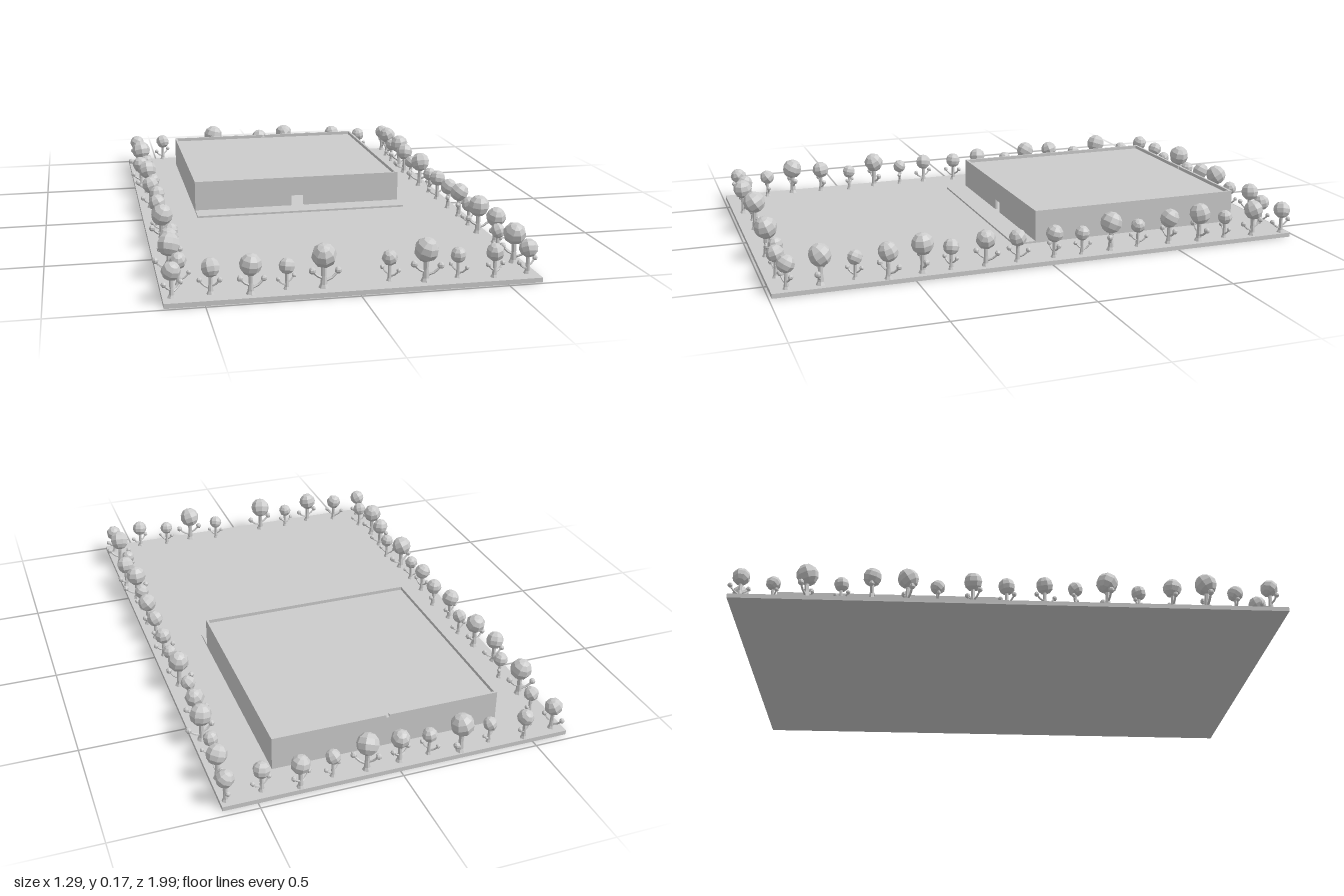
import * as THREE from 'three';

const stone = new THREE.MeshStandardMaterial({ color: 0xcccccc });
stone.name = 'pale grey';

// faceted copy of a geometry
function flat(geometry) {
  const g = geometry.index ? geometry.toNonIndexed() : geometry;
  g.computeVertexNormals();
  return g;
}

function add(parent, name, geometry, x = 0, y = 0, z = 0) {
  const mesh = new THREE.Mesh(geometry, stone);
  mesh.name = name;
  mesh.position.set(x, y, z);
  parent.add(mesh);
  return mesh;
}

// box from its limits
function block(parent, name, x0, x1, y0, y1, z0, z1) {
  return add(parent, name, new THREE.BoxGeometry(x1 - x0, y1 - y0, z1 - z0),
    (x0 + x1) / 2, (y0 + y1) / 2, (z0 + z1) / 2);
}

// shared tree pieces
const crownGeo = flat(new THREE.SphereGeometry(1, 8, 6));
const budGeo = flat(new THREE.SphereGeometry(0.012, 7, 5));
const trunkGeo = flat(new THREE.LatheGeometry(
  [[0.018, 0], [0.012, 0.012], [0.009, 0.04], [0.009, 0.07], [0.013, 0.1]]
    .map(([r, y]) => new THREE.Vector2(r, y)), 7));
const branchGeo = (points) => flat(new THREE.TubeGeometry(
  new THREE.CatmullRomCurve3(points.map(([x, y]) => new THREE.Vector3(x, y, 0))), 4, 0.0045, 5));
const branches = [
  { geo: branchGeo([[0, 0.02], [0.03, 0.032], [0.048, 0.05]]), tip: [0.049, 0.053] },
  { geo: branchGeo([[0, 0.03], [-0.024, 0.042], [-0.038, 0.058]]), tip: [-0.04, 0.06] },
];

const GROUND = 0.016;

// tree with crown radius r, long branch pointing along (dx, dz)
function makeTree(x, z, r, dx, dz, index) {
  const tree = new THREE.Group();
  tree.name = 'tree';
  const s = r / 0.042;
  const crownY = 0.025 + 0.083 * s;
  const tall = crownY / 0.108;
  add(tree, 'trunk', trunkGeo).scale.set(s, tall, s);
  const crown = add(tree, 'crown', crownGeo, 0, crownY, 0);
  crown.scale.setScalar(r);
  crown.rotation.set(0.35, index * 1.3, 0.25);
  for (const { geo, tip } of branches) {
    add(tree, 'branch', geo).scale.set(s, tall, s);
    add(tree, 'leafBall', budGeo, tip[0] * s, tip[1] * tall, 0).scale.setScalar(s);
  }
  tree.position.set(x, GROUND, z);
  tree.rotation.y = Math.atan2(-dz, dx);
  return tree;
}

// tree rows: x, z, crown radius, then direction of the long branch
const backRow = [
  [-0.59, -0.94, 0.032, -4, -6], [-0.47, -0.96, 0.03, -7, 4], [-0.345, -0.94, 0.025, 6, -3],
  [-0.23, -0.955, 0.042, 6, -6], [-0.12, -0.935, 0.027, -6, -5], [-0.01, -0.94, 0.034, -7, 3],
  [0.11, -0.945, 0.04, 8, 5], [0.23, -0.94, 0.027, 7, -3], [0.35, -0.96, 0.034, -7, 4],
  [0.475, -0.935, 0.03, 7, -2], [0.6, -0.945, 0.032, 0, 7],
];
const frontRow = [
  [-0.6, 0.935, 0.032, 6, -4], [-0.475, 0.925, 0.032, -7, -3], [-0.35, 0.95, 0.037, 9, -1],
  [-0.23, 0.93, 0.027, -7, 2], [-0.11, 0.937, 0.042, 8, -1], [0.115, 0.915, 0.027, 6, 4],
  [0.23, 0.945, 0.042, 9, 1], [0.345, 0.93, 0.027, 6, 5], [0.465, 0.95, 0.031, 7, -3],
  [0.587, 0.935, 0.032, -8, 3],
];
const rightRow = [
  [-0.565, -0.83, 0.027, 5, -4], [-0.587, -0.71, 0.04, -9, -3], [-0.57, -0.59, 0.027, -4, 6],
  [-0.603, -0.48, 0.034, 8, 0], [-0.583, -0.355, 0.038, -10, 4], [-0.567, -0.25, 0.027, 6, -1],
  [-0.587, -0.125, 0.034, -7, 5], [-0.57, -0.005, 0.031, -5, 5], [-0.58, 0.13, 0.032, 2, 7],
  [-0.577, 0.24, 0.027, -6, -2], [-0.58, 0.355, 0.04, 9, -2], [-0.56, 0.47, 0.027, -6, -4],
  [-0.577, 0.59, 0.034, 9, -1], [-0.587, 0.71, 0.04, -10, 1], [-0.567, 0.82, 0.029, 6, 0],
];
const leftRow = [
  [0.593, -0.825, 0.037, 1, 8], [0.583, -0.71, 0.027, 6, 0], [0.587, -0.6, 0.04, 9, -1],
  [0.577, -0.48, 0.036, -7, 1], [0.57, -0.355, 0.027, 2, -6], [0.577, -0.243, 0.04, -7, -4],
  [0.583, -0.127, 0.027, 0, -5], [0.583, -0.02, 0.032, -8, 1], [0.583, 0.12, 0.032, 3, -7],
  [0.587, 0.24, 0.036, 3, -6], [0.583, 0.365, 0.029, -6, 3], [0.583, 0.467, 0.04, 10, 0],
  [0.603, 0.593, 0.036, 6, -6], [0.57, 0.7, 0.027, -5, 5], [0.583, 0.82, 0.04, 10, 4],
];

// hollow building with parapet, doorway and drain notch
function makeBuilding() {
  const building = new THREE.Group();
  building.name = 'building';
  const [x0, x1, z0, z1] = [-0.42, 0.41, -0.84, -0.015];
  const [floor, top, t] = [0.023, 0.139, 0.009];
  block(building, 'floorAndPorch', x0, x1, 0.014, floor, z0, 0.07);
  block(building, 'rightWall', x0, x0 + t, floor, top, z0, z1);
  block(building, 'leftWall', x1 - t, x1, floor, top, z0, z1);
  block(building, 'roof', x0 + t, x1 - t, 0.116, 0.126, z0 + t, z1 - t);

  // outline of a wall with a notch cut from its lower or upper edge
  const wall = (name, points, z) => {
    const shape = new THREE.Shape(points.map(([x, y]) => new THREE.Vector2(x, y)));
    add(building, name, new THREE.ExtrudeGeometry(shape, { depth: t, bevelEnabled: false }), 0, 0, z);
  };
  const [a, b] = [x0 + t, x1 - t];
  wall('frontWall', [[a, floor], [-0.032, floor], [-0.032, 0.064], [0.02, 0.064],
    [0.02, floor], [b, floor], [b, top], [a, top]], z1 - t);
  wall('backWall', [[a, floor], [b, floor], [b, top], [0, top], [0, 0.129],
    [-0.012, 0.129], [-0.012, top], [a, top]], z0);
  return building;
}

export function createModel() {
  const model = new THREE.Group();
  model.name = 'buildingWithTrees';
  block(model, 'groundPlate', -0.63, 0.62, 0, GROUND, -0.975, 0.99);
  model.add(makeBuilding());

  const trees = new THREE.Group();
  trees.name = 'trees';
  [...backRow, ...frontRow, ...rightRow, ...leftRow]
    .forEach((row, i) => trees.add(makeTree(...row, i)));
  model.add(trees);
  return model;
}
